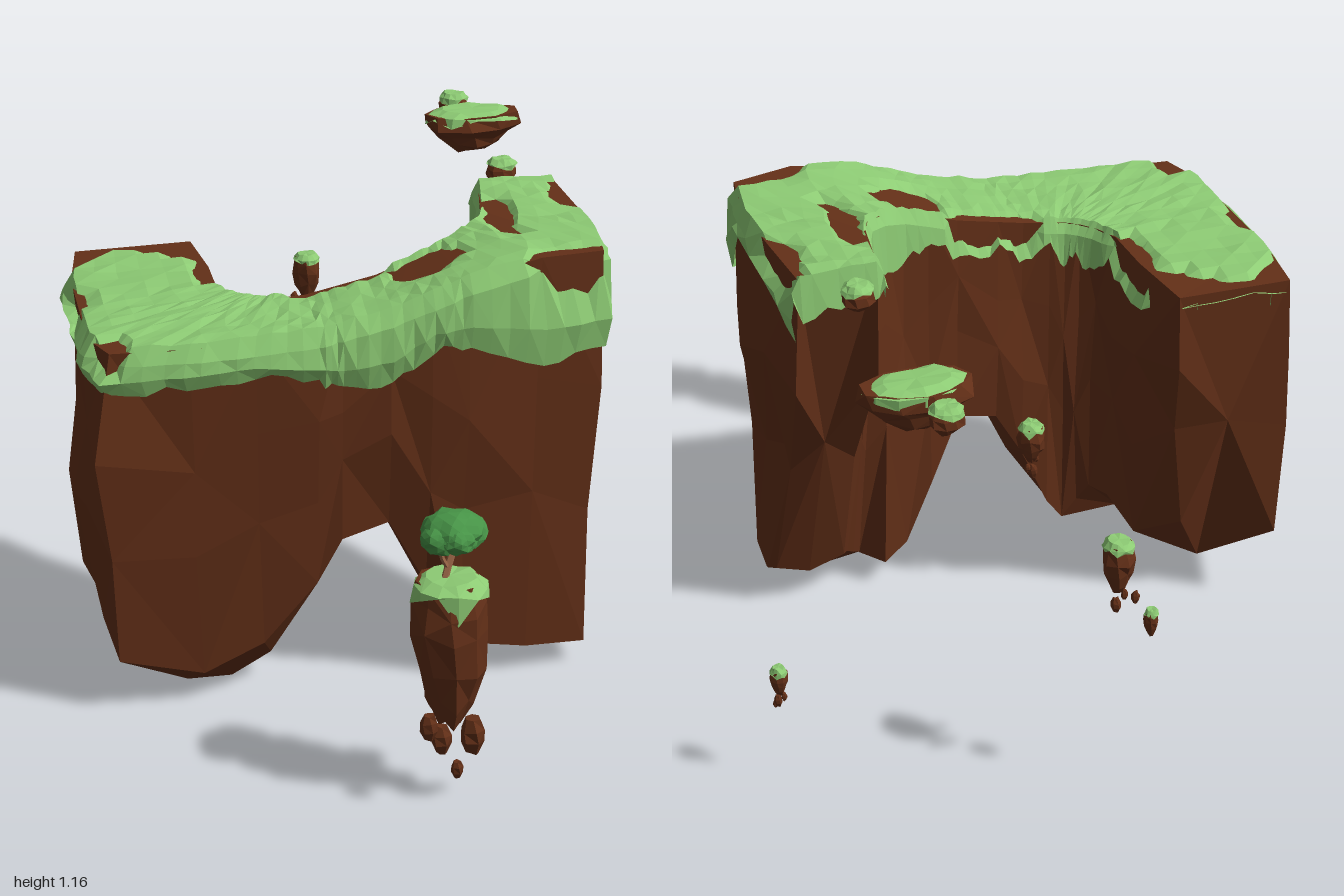
import * as THREE from 'three';

let seed = 7;
const rnd = () => { seed = (seed * 16807) % 2147483647; return seed / 2147483647; };
const jit = a => (rnd() * 2 - 1) * a;
const { lerp, clamp } = THREE.MathUtils;
const V = (x, y, z) => new THREE.Vector3(x, y, z);
const mat = (color, side = THREE.FrontSide) =>
  new THREE.MeshStandardMaterial({ color, side, flatShading: true });
const ROCK = mat(0x643018), GRASS = mat(0x8dcb74, THREE.DoubleSide);
const LEAF = mat(0x479447), BARK = mat(0xa06a4a);

function mesh(name, geo, material) {
  const m = new THREE.Mesh(geo, material);
  m.name = name;
  return m;
}

// Joins equal-length rings into a skin with optional end caps
function loft(rings, { closed = true, capA = false, capB = false } = {}) {
  const n = rings[0].length, pts = rings.flat(), idx = [];
  for (let r = 0; r < rings.length - 1; r++)
    for (let i = 0; i < (closed ? n : n - 1); i++) {
      const a = r * n + i, b = r * n + (i + 1) % n, c = a + n, d = b + n;
      if ((r + i) % 2) idx.push(a, b, c, b, d, c);
      else idx.push(a, b, d, a, d, c);
    }
  const cap = (r, flip) => {
    const mid = V(0, 0, 0);
    rings[r].forEach(p => mid.add(p));
    const k = pts.push(mid.divideScalar(n)) - 1;
    for (let i = 0; i < n; i++) {
      const a = r * n + i, b = r * n + (i + 1) % n;
      if (flip) idx.push(b, a, k);
      else idx.push(a, b, k);
    }
  };
  if (capA) cap(0, true);
  if (capB) cap(rings.length - 1, false);
  // Turn the skin outwards if its volume comes out negative
  let vol = 0;
  for (let i = 0; i < idx.length; i += 3)
    vol += pts[idx[i]].dot(V(0, 0, 0).crossVectors(pts[idx[i + 1]], pts[idx[i + 2]]));
  if (vol < 0) idx.reverse();
  const g = new THREE.BufferGeometry().setFromPoints(pts);
  g.setIndex(idx);
  g.computeVertexNormals();
  return g;
}

// Height of the plateau along x
const HEIGHTS = [[-0.8, 0.945], [-0.7, 0.96], [-0.45, 0.965], [-0.2, 0.98], [0, 1.025],
  [0.2, 1.1], [0.33, 1.13], [0.48, 1.138], [0.6, 1.11]];
function topY(x) {
  let i = 1;
  while (i < HEIGHTS.length - 1 && x > HEIGHTS[i][0]) i++;
  const [a, b] = [HEIGHTS[i - 1], HEIGHTS[i]];
  return lerp(a[1], b[1], clamp((x - a[0]) / (b[0] - a[0]), 0, 1));
}

// Stations round the U: outer x,z, inner x,z, lowest y, grass edge y outside, drop inside, lift of outer foot
const U = [
  [-0.70, -0.35, -0.40, -0.35, 0.09, 0.91, 0.05, 0.13],
  [-0.73, -0.15, -0.38, -0.15, 0.09, 0.89, 0.11, 0.08],
  [-0.73, 0.08, -0.38, 0.00, 0.11, 0.92, 0.07, 0.09],
  [-0.73, 0.25, -0.35, 0.06, 0.06, 0.88, 0.12, 0.14],
  [-0.69, 0.37, -0.32, 0.09, 0.00, 0.855, 0.08, 0.14],
  [-0.50, 0.385, -0.29, 0.11, 0.01, 0.87, 0.10, 0.07],
  [-0.34, 0.385, -0.25, 0.12, 0.07, 0.885, 0.06, 0.07],
  [-0.19, 0.385, -0.18, 0.13, 0.24, 0.86, 0.09, 0.06],
  [-0.13, 0.385, -0.11, 0.13, 0.38, 0.84, 0.07, 0.04],
  [-0.01, 0.385, 0.00, 0.13, 0.43, 0.85, 0.10, 0.02],
  [0.09, 0.385, 0.08, 0.125, 0.25, 0.925, 0.06, 0.02],
  [0.18, 0.385, 0.15, 0.115, 0.08, 0.925, 0.11, 0.02],
  [0.36, 0.37, 0.22, 0.08, 0.05, 0.865, 0.16, 0.02],
  [0.52, 0.34, 0.27, 0.04, 0.04, 0.875, 0.12, 0.02],
  [0.545, 0.18, 0.295, -0.02, 0.06, 1.06, 0.17, 0.02],
  [0.54, 0.00, 0.31, -0.10, 0.075, 1.03, 0.13, 0.03],
  [0.53, -0.21, 0.33, -0.21, 0.085, 0.98, 0.07, 0.03]];

function cliff() {
  const LEVELS = [0, 0.33, 0.62, 1];
  const END = [-0.21, -0.17, 0.01, 0.1]; // rear limit of the undercut right arm at each level
  const rings = U.map(([ox, oz, ix, iz, low, , , lift], s) => {
    const out = V(ox - ix, 0, oz - iz).normalize(), back = U.length - 1 - s;
    const undercut = (z, k) => back < 4 ? Math.max(z, END[k] + back * 0.025) : z;
    const side = (x, z, offs, foot, wobble) => LEVELS.map((t, k) => {
      const o = offs[k] + (k ? wobble * Math.sin(s * 1.7 + k * 2.3) : 0);
      const y = lerp(topY(x), foot, t) + (k % 3 ? 0.04 * Math.sin(s * 2.1 + k) : 0);
      return V(x + out.x * o, y, undercut(z + out.z * o, k));
    });
    const bulge = ox < -0.65 ? [0, s === 4 ? 0.055 : 0, 0.025, -0.01]
      : ox > 0.5 ? [0, 0.015, -0.035, -0.015] : [0, 0, -0.015, -0.04];
    const outer = side(ox, oz, bulge, low + lift, 0.012);
    const inner = side(ix, iz, [0, 0, -0.005, 0], low + (s ? lift : 0.15), 0.009);
    // The rear foot of the left arm draws in to a point
    if (s === 0) [0, 0, 0.06, 0.1].forEach((d, k) => { inner[k].z += d; inner[k].x -= d * 0.7; });
    const base = V((ox + ix) / 2, low, undercut((oz + iz) / 2 + (s ? 0 : 0.15), 3));
    return [...outer, base, ...inner.reverse()];
  });
  return loft(rings, { capA: true, capB: true });
}

// Bare earth showing through the turf: centre x,z and radii
const BARE = [[0.11, 0.2, 0.1, 0.07], [-0.1, 0.13, 0.14, 0.03], [0.44, 0.35, 0.13, 0.05],
  [0.53, -0.08, 0.04, 0.12], [0.33, 0.03, 0.035, 0.17],
  [-0.76, 0.0, 0.05, 0.13], [-0.73, 0.35, 0.09, 0.06], [-0.37, -0.1, 0.035, 0.12]];
// How far the turf sinks into the rock at a point
function sink(x, z) {
  let d = x < -0.3 ? (-0.32 + Math.abs(x + 0.58) * 0.75 - z) * 8 : 0;
  for (const [cx, cz, a, b] of BARE) d = Math.max(d, 1 - Math.hypot((x - cx) / a, (z - cz) / b));
  return clamp(d * 0.09, 0, 0.045);
}

function turf() {
  const rings = [], SUB = 4;
  for (let s = 0; s <= (U.length - 1) * SUB; s++) {
    const k = Math.min(Math.floor(s / SUB), U.length - 2), f = s / SUB - k;
    const [ox, oz, ix, iz, , edge, drop] = U[k].map((v, i) => lerp(v, U[k + 1][i], f));
    const out = V(ox - ix, 0, oz - iz).normalize();
    const oy = lerp(topY(U[k][0]), topY(U[k + 1][0]), f), iy = lerp(topY(U[k][2]), topY(U[k + 1][2]), f);
    // Near the bare rear end the rims tuck inside the rock
    const at = (x, z, o, y, h) => {
      const q = (s < 3 ? -0.05 : Math.abs(o) - h) * Math.sign(o);
      return V(x + out.x * q, y, z + out.z * q);
    };
    const so = sink(ox, oz), si = sink(ix, iz);
    const ring = [at(ox, oz, 0.016, edge + jit(0.012), 0),
      at(ox, oz, 0.03 + jit(0.006), (edge * 2 + oy) / 3, 0),
      at(ox, oz, 0.022 + jit(0.005), oy - 0.03, so)];
    for (const u of [0.02, 0.17, 0.33, 0.5, 0.67, 0.83, 0.98]) {
      const x = lerp(ox, ix, u), z = lerp(oz, iz, u);
      ring.push(V(x, lerp(oy, iy, u) + 0.013 + jit(0.004) - sink(x, z), z));
    }
    ring.push(at(ix, iz, -0.014, iy - 0.025, si), at(ix, iz, -0.02, iy - drop + jit(0.02), 0));
    rings.push(ring);
  }
  // Fringe hanging over the end of the right arm
  rings.push(rings.at(-1).map(p => V(p.x, Math.min(p.y, 1.045 + jit(0.045)), p.z - 0.015)));
  return loft(rings, { closed: false });
}

// Uneven rock of stacked rings; profile rows are [radius, height fraction]
function boulder(x, z, top, bottom, rx, rz, profile, sides = 9) {
  const rings = profile.map(([r, t]) => Array.from({ length: sides }, (_, i) => {
    const a = (i + t * 0.6) / sides * Math.PI * 2, q = r * (1 + jit(0.1));
    return V(x + Math.cos(a) * rx * q, lerp(bottom, top, t) + (t < 1 ? jit((top - bottom) * 0.05) : jit(0.003)),
      z + Math.sin(a) * rz * q);
  }));
  return loft(rings, { capA: true, capB: true });
}

// Thin cap of grass with a ragged hanging edge
function grassCap(x, z, top, rx, rz, drop, sides = 12) {
  const ring = (r, y, j) => Array.from({ length: sides }, (_, i) => {
    const a = i / sides * Math.PI * 2, q = r * (1 + jit(0.08));
    return V(x + Math.cos(a) * rx * q, y + jit(j), z + Math.sin(a) * rz * q);
  });
  return loft([ring(1.02, top - drop, drop * 0.8), ring(0.98, top - drop * 0.2, 0.003),
    ring(0.65, top + 0.01, 0.003)], { capB: true });
}

const TAPER = [[0.3, 0], [0.62, 0.17], [0.92, 0.42], [1.06, 0.68], [1, 0.86], [0.85, 1]];
const CHUNK = [[0.5, 0], [1, 0.35], [0.98, 0.7], [0.6, 1]];
const DISH = [[0.3, 0], [0.62, 0.2], [0.75, 0.42], [1.05, 0.65], [0.98, 1]];

// Floating islet with crumbs of rock ([x, y, z, radius]) beneath it
function islet(name, x, z, top, bottom, rx, rz, profile, drop, crumbs) {
  const g = new THREE.Group();
  g.name = name;
  g.add(mesh('isletRock', boulder(x, z, top, bottom, rx, rz, profile), ROCK));
  g.add(mesh('isletGrass', grassCap(x, z, top, rx, rz, drop), GRASS));
  for (const [cx, cy, cz, r] of crumbs)
    g.add(mesh('crumb', boulder(cx, cz, cy + r * 1.5, cy - r * 1.5, r, r, CHUNK, 6), ROCK));
  return g;
}

function tree() {
  const g = new THREE.Group();
  g.name = 'tree';
  const limb = (name, pts, r) => g.add(mesh(name,
    new THREE.TubeGeometry(new THREE.CatmullRomCurve3(pts), 5, r, 5), BARK));
  limb('trunk', [V(0.005, 0.55, 0.92), V(0.015, 0.59, 0.91), V(0.03, 0.63, 0.9), V(0.035, 0.68, 0.9)], 0.009);
  limb('branch', [V(0.015, 0.6, 0.91), V(0.0, 0.63, 0.92), V(-0.005, 0.67, 0.93)], 0.006);
  limb('branch', [V(0.028, 0.62, 0.9), V(0.055, 0.64, 0.88), V(0.065, 0.67, 0.87)], 0.006);
  for (const [x, y, z, r, h] of [[0.03, 0.69, 0.91, 0.075, 0.045], [-0.005, 0.68, 0.93, 0.048, 0.036],
    [0.068, 0.675, 0.89, 0.046, 0.04], [0.03, 0.685, 0.95, 0.045, 0.034], [0.035, 0.675, 0.865, 0.046, 0.038]]) {
    const geo = new THREE.IcosahedronGeometry(1, 2), p = geo.attributes.position;
    for (let i = 0; i < p.count; i++) {
      const [a, b, c] = [p.getX(i), p.getY(i), p.getZ(i)];
      const k = 1 + 0.09 * Math.sin(a * 7 + x * 90) * Math.cos(c * 6 + b * 5);
      p.setXYZ(i, x + a * k * r, y + b * k * h, z + c * k * r);
    }
    geo.computeVertexNormals();
    g.add(mesh('foliage', geo, LEAF));
  }
  return g;
}

export function createModel() {
  seed = 7;
  const model = new THREE.Group();
  model.name = 'floatingIslands';
  model.add(mesh('cliff', cliff(), ROCK), mesh('turf', turf(), GRASS), tree());
  model.add(islet('treeIslet', 0.025, 0.908, 0.565, 0.19, 0.09, 0.087, TAPER, 0.045, [
    [-0.035, 0.215, 0.965, 0.021], [0.07, 0.18, 0.96, 0.03], [0.015, 0.215, 0.8, 0.028],
    [0.015, 0.13, 0.875, 0.024], [0.047, 0.06, 0.905, 0.015]]));
  model.add(islet('innerIslet', -0.12, -0.085, 0.515, 0.41, 0.034, 0.034, TAPER, 0.015, [
    [-0.125, 0.38, -0.09, 0.011], [-0.105, 0.4, -0.1, 0.008], [-0.14, 0.405, -0.07, 0.007]]));
  model.add(islet('rearIslet', 0, -0.915, 0.695, 0.565, 0.037, 0.039, TAPER, 0.012, [
    [-0.02, 0.555, -0.89, 0.011], [0.01, 0.535, -0.93, 0.012], [-0.03, 0.56, -0.95, 0.01], [0.005, 0.585, -0.965, 0.008]]));
  model.add(islet('rearCrumbIslet', -0.058, -0.98, 0.53, 0.465, 0.017, 0.017, TAPER, 0.007, []));
  model.add(islet('flatIslet', 0.44, -0.775, 1.14, 1.03, 0.128, 0.072, DISH, 0.018, []));
  model.add(islet('roundIslet', 0.42, -0.912, 1.145, 1.085, 0.04, 0.038, CHUNK, 0.01, []));
  model.add(islet('armIslet', 0.42, -0.32, 1.145, 1.088, 0.04, 0.038, CHUNK, 0.01, []));
  model.add(islet('sideIslet', 0.737, -0.612, 0.322, 0.255, 0.021, 0.021, TAPER, 0.008, [
    [0.74, 0.235, -0.612, 0.01], [0.728, 0.25, -0.622, 0.007], [0.745, 0.222, -0.605, 0.006]]));
  return model;
}
